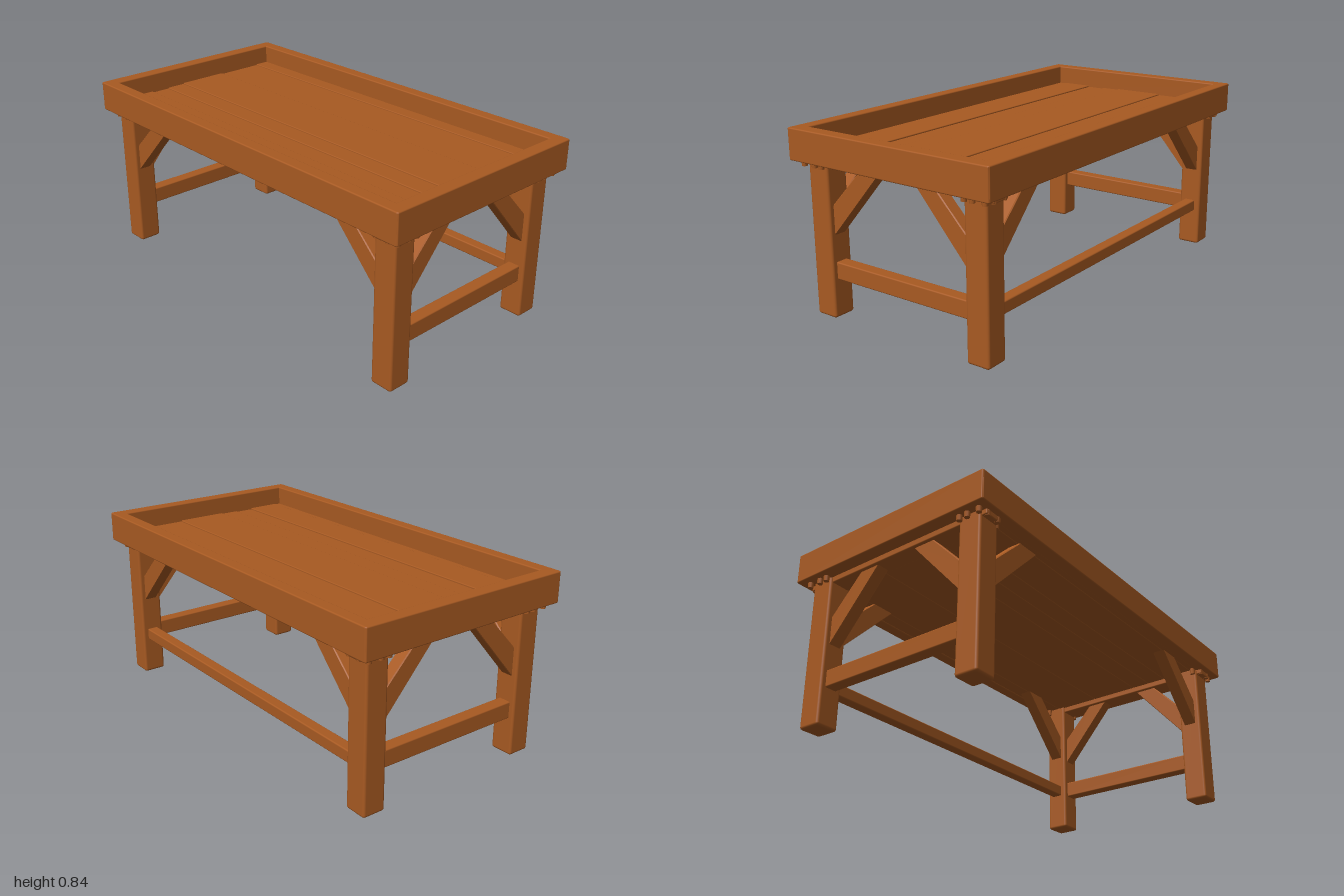
import * as THREE from 'three';
import { RoundedBoxGeometry } from 'three/addons/geometries/RoundedBoxGeometry.js';

export function createModel() {
  const table = new THREE.Group();
  table.name = 'table';
  const wood = new THREE.MeshStandardMaterial({ color: 0xa85a22 });
  wood.name = 'warm wood';

  const add = (name, geometry) => {
    const mesh = new THREE.Mesh(geometry, wood);
    mesh.name = name;
    table.add(mesh);
    return mesh;
  };
  // Softly rounded timber given by its min and max on each axis
  const timber = (name, x0, x1, y0, y1, z0, z1, r = 0.006) => {
    const mesh = add(name, new RoundedBoxGeometry(x1 - x0, y1 - y0, z1 - z0, 2, r));
    mesh.position.set((x0 + x1) / 2, (y0 + y1) / 2, (z0 + z1) / 2);
    return mesh;
  };
  // Diagonal brace: a parallelogram outline with a small bevel, centred on its depth
  const brace = (name, points, depth) => {
    const bevel = 0.004;
    const shape = new THREE.Shape(points.map(([a, b]) => new THREE.Vector2(a, b)));
    const geometry = new THREE.ExtrudeGeometry(shape, {
      depth: depth - 2 * bevel, bevelSize: bevel, bevelThickness: bevel,
      bevelOffset: -bevel, bevelSegments: 1,
    });
    geometry.translate(0, 0, -depth / 2 + bevel);
    return add(name, geometry);
  };

  // Raised rim around the top
  for (const s of [-1, 1]) {
    timber('longRim', -0.997, 0.997, 0.697, 0.838, s * 0.5 - 0.03, s * 0.5 + 0.03);
    timber('shortRim', s * 0.968 - 0.032, s * 0.968 + 0.032, 0.697, 0.838, -0.528, 0.528);
  }

  // Sunken floor of planks with slightly uneven heights
  const seams = [-0.475, -0.4, -0.16, 0.09, 0.185, 0.28, 0.44, 0.475];
  const lift = [0.004, 0, 0.005, 0.001, -0.003, 0.003, 0, -0.004];
  for (let i = 0; i < seams.length - 1; i++) {
    timber('floorPlank', -0.94, 0.94, 0.702, 0.745 + lift[i], seams[i], seams[i + 1], 0.004);
  }

  for (const sx of [-1, 1]) {
    // Battens under each end of the floor
    timber('endBatten', sx * 0.89 - 0.045, sx * 0.89 + 0.045, 0.674, 0.71, -0.5, 0.5);
    // Side stretcher between the front and back legs
    timber('sideStretcher', sx * 0.89 - 0.03, sx * 0.89 + 0.03, 0.175, 0.254, -0.38, 0.38);

    for (const sz of [-1, 1]) {
      timber('leg', sx * 0.89 - 0.055, sx * 0.89 + 0.055, 0, 0.71,
        sz * 0.42 - 0.055, sz * 0.42 + 0.055, 0.012);

      // Brace along the length
      const long = brace('longBrace', [[0.85, 0.385], [0.85, 0.515], [0.65, 0.71], [0.535, 0.71]]
        .map(([a, b]) => [sx * a, b]), 0.06);
      long.position.z = sz * 0.42;

      // Brace across the width
      const side = brace('sideBrace', [[0.38, 0.36], [0.38, 0.497], [0.185, 0.7], [0.08, 0.7]]
        .map(([a, b]) => [-sz * a, b]), 0.06);
      side.rotation.y = Math.PI / 2;
      side.position.x = sx * 0.89;

      // Small peg heads beside the top of each leg
      for (const [dx, dz] of [[0.07, 0.06], [0.07, 0], [0.07, -0.04], [0.03, 0.07], [-0.03, 0.07], [-0.06, 0.04]]) {
        const peg = add('peg', new THREE.CylinderGeometry(0.014, 0.012, 0.035, 8));
        peg.position.set(sx * (0.89 + dx), 0.69, sz * (0.42 + dz));
      }
    }
  }

  // Single long stretcher between the back legs
  timber('backStretcher', -0.85, 0.85, 0.18, 0.236, -0.447, -0.393);

  return table;
}
